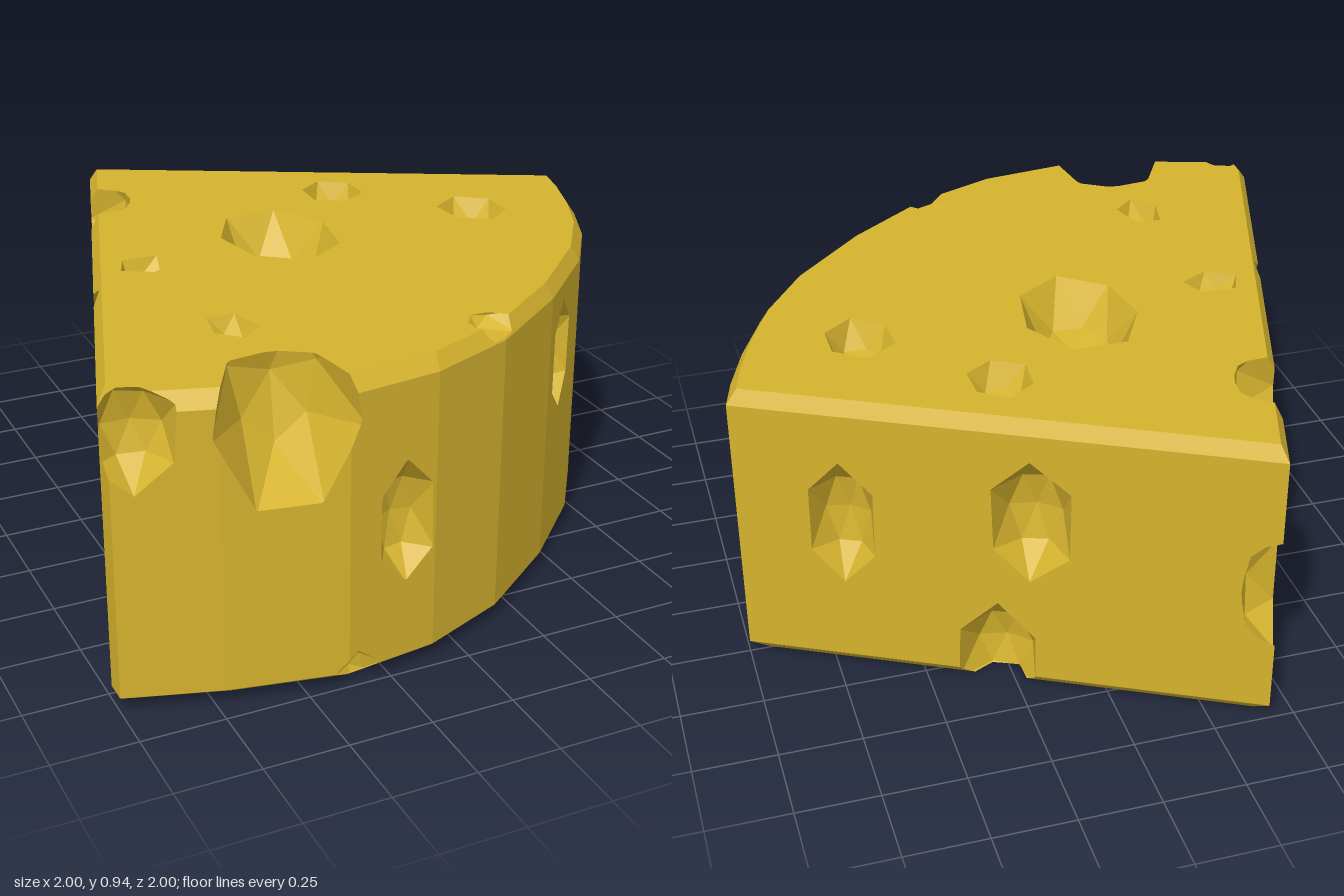
import * as THREE from 'three';
import { ConvexGeometry } from 'three/addons/geometries/ConvexGeometry.js';

const V = (x, y, z) => new THREE.Vector3(x, y, z);
const P = (x, z) => new THREE.Vector2(x, z);
const EPS = 1e-5, HEIGHT = 0.94;

let seed = 7;
const rand = () => (seed = (seed * 16807) % 2147483647) / 2147483647;

// Plan of the wedge: curved rind, straight left wall, straight back wall
const RIND = new THREE.SplineCurve([P(1, -0.26), P(0.91, 0.02), P(0.69, 0.4), P(0.17, 0.85), P(-0.38, 1), P(-1, 0.85)]);
const LEFT = new THREE.LineCurve(P(-1, 0.78), P(-0.42, -1));
const BACK = new THREE.LineCurve(P(-0.42, -1), P(1, -0.26));

// Hollows in a wall: place along it (0 to 1), height, half width, half height, own depth if any
const WALL_HOLLOWS = [
  [RIND, [
    [0.16, 0.32, 0.17, 0.3], [0.46, 0.66, 0.1, 0.18], [0.6, 0.94, 0.09, 0.05, 0.12], [0.735, 0.47, 0.1, 0.2],
    [0.79, 0.03, 0.07, 0.08], [0.85, 0.88, 0.2, 0.31, 0.26], [0.97, 0.83, 0.13, 0.17],
  ]],
  [LEFT, [[0.1, 0.02, 0.19, 0.11], [0.39, 0.73, 0.14, 0.21], [0.625, 0.12, 0.11, 0.15], [0.8, 0.88, 0.16, 0.22], [0.985, 0.45, 0.12, 0.22]]],
  [BACK, [[0.45, 0.6, 0.13, 0.21], [0.51, 0.1, 0.14, 0.19], [0.8, 0.53, 0.11, 0.21]]],
];

// Hollows in the top and underside: x, z, half width, half length
const FLAT_HOLLOWS = [
  [HEIGHT, [
    [-0.11, -0.09, 0.18, 0.23], [0.23, -0.41, 0.1, 0.11], [0.57, -0.06, 0.11, 0.12],
    [-0.57, -0.02, 0.09, 0.07], [-0.52, 0.53, 0.07, 0.1],
  ]],
  [0, [[-0.24, -0.57, 0.19, 0.17], [0.04, 0.65, 0.11, 0.1]]],
];

// A convex solid as triangles plus its distinct face planes
function solid(points) {
  const pos = new ConvexGeometry(points).getAttribute('position');
  const polys = [], planes = [];
  for (let i = 0; i < pos.count; i += 3) {
    const tri = [0, 1, 2].map(k => new THREE.Vector3().fromBufferAttribute(pos, i + k));
    const plane = new THREE.Plane().setFromCoplanarPoints(...tri);
    if (plane.normal.length() < 0.5) continue;
    polys.push(tri);
    if (!planes.some(p => p.normal.dot(plane.normal) > 0.999999 && Math.abs(p.constant - plane.constant) < 1e-4)) planes.push(plane);
  }
  return { polys, planes };
}

// Cut a polygon by a plane into its front and back parts
function split(poly, plane) {
  const front = [], back = [];
  const d = poly.map(p => plane.distanceToPoint(p));
  if (d.every(v => v <= EPS)) return [null, poly];
  if (d.every(v => v >= -EPS)) return [poly, null];
  poly.forEach((p, i) => {
    const j = (i + 1) % poly.length;
    if (d[i] >= -EPS) front.push(p);
    if (d[i] <= EPS) back.push(p);
    if ((d[i] > EPS && d[j] < -EPS) || (d[i] < -EPS && d[j] > EPS)) {
      const c = p.clone().lerp(poly[j], d[i] / (d[i] - d[j]));
      front.push(c);
      back.push(c);
    }
  });
  return [front, back];
}

// Keep what lies outside a convex solid
function outside(polys, planes) {
  return polys.flatMap(poly => {
    const kept = [];
    let rest = poly;
    for (const plane of planes) {
      const [front, back] = split(rest, plane);
      if (front) kept.push(front);
      rest = back;
      if (!rest) return [poly];
    }
    return kept;
  });
}

// Keep what lies inside a convex solid
function inside(polys, planes) {
  return polys.map(poly => planes.reduce((p, plane) => p && split(p, plane)[1], poly)).filter(Boolean);
}

function toMesh(polys, material, name) {
  const out = [];
  for (const p of polys) {
    for (let i = 1; i < p.length - 1; i++) out.push(...p[0], ...p[i], ...p[i + 1]);
  }
  const geometry = new THREE.BufferGeometry();
  geometry.setAttribute('position', new THREE.Float32BufferAttribute(out, 3));
  geometry.computeVertexNormals();
  const mesh = new THREE.Mesh(geometry, material);
  mesh.name = name;
  return mesh;
}

// Outline stacked in four layers, with narrow bevels at top and bottom
function wedge() {
  const outline = [...RIND.getPoints(10), ...LEFT.getPoints(1)];
  const layers = [[0, 0.94], [0.045, 1], [0.895, 1], [HEIGHT, 0.965]]; // height, scale
  return solid(layers.flatMap(([y, s]) => outline.map(p => V(p.x * s, y, p.y * s))));
}

// Faceted hollow: rings of jittered points around an axis
function hollow(center, side, up, axis, rx, ry, depth = 0.9 * Math.min(rx, ry)) {
  const n = rx > 0.15 ? 7 : rx < 0.1 ? 5 : 6;
  const at = (u, v, w) => center.clone().addScaledVector(side, u * rx).addScaledVector(up, v * ry).addScaledVector(axis, w * depth);
  const pts = [at(0, 0, 1), at(0, 0, -1)];
  for (const [r, w, turn] of [[0.6, -0.8, 0.5], [1, 0, 0], [0.6, 0.8, 0.5]]) {
    for (let i = 0; i < n; i++) {
      const a = ((i + turn) / n) * Math.PI * 2;
      const k = r * (0.94 + rand() * 0.14);
      pts.push(at(Math.sin(a) * k, Math.cos(a) * k, w));
    }
  }
  return solid(pts);
}

function wallHollow(curve, [t, y, ...size]) {
  const p = curve.getPoint(t), d = curve.getTangent(t);
  return hollow(V(p.x, y, p.y), V(d.x, 0, d.y), V(0, 1, 0), V(d.y, 0, -d.x), ...size);
}

function flatHollow(y, [x, z, ...size]) {
  return hollow(V(x, y, z), V(1, 0, 0), V(0, 0, 1), V(0, 1, 0), ...size);
}

export function createModel() {
  const group = new THREE.Group();
  group.name = 'cheeseWedge';
  const cheese = new THREE.MeshStandardMaterial({ color: 0xd6b32e });
  cheese.name = 'cheese yellow';

  const body = wedge();
  const hollows = [
    ...WALL_HOLLOWS.flatMap(([curve, list]) => list.map(h => wallHollow(curve, h))),
    ...FLAT_HOLLOWS.flatMap(([y, list]) => list.map(h => flatHollow(y, h))),
  ];

  // outer skin with every hollow cut away
  const skin = hollows.reduce((polys, h) => outside(polys, h.planes), body.polys);
  group.add(toMesh(skin, cheese, 'wedgeBody'));

  // hollow linings, turned to face into the open space
  hollows.forEach(h => {
    const facing = inside(h.polys.map(p => [...p].reverse()), body.planes);
    const lining = hollows.reduce((polys, other) => (other === h ? polys : outside(polys, other.planes)), facing);
    group.add(toMesh(lining, cheese, 'hole'));
  });
  return group;
}
